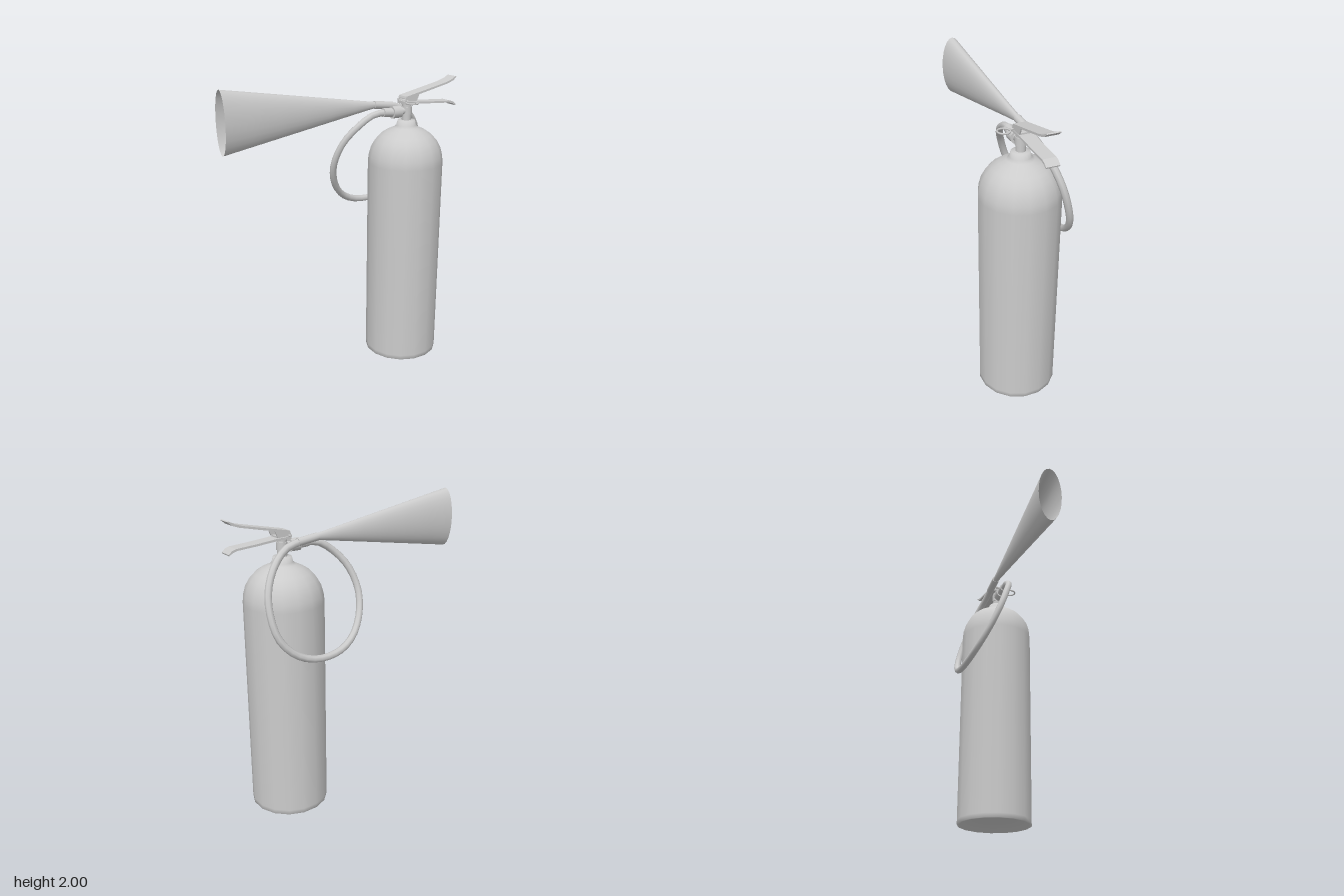
import * as THREE from 'three';

const CX = 0.45, CZ = 0.028; // axis of the tank

export function createModel() {
  const group = new THREE.Group();
  const grey = new THREE.MeshStandardMaterial({ color: 0xcccccc });
  const greyThin = new THREE.MeshStandardMaterial({ color: 0xcccccc, side: THREE.DoubleSide });

  const add = (name, geometry, material = grey) => {
    const mesh = new THREE.Mesh(geometry, material);
    mesh.name = name;
    group.add(mesh);
    return mesh;
  };
  const v = (a) => new THREE.Vector3(...a);

  // Round rod between two points
  const rod = (name, a, b, radius, sides = 12) => {
    const from = v(a), to = v(b), dir = to.clone().sub(from);
    const mesh = add(name, new THREE.CylinderGeometry(radius, radius, dir.length(), sides));
    mesh.position.copy(from).add(to).multiplyScalar(0.5);
    mesh.quaternion.setFromUnitVectors(new THREE.Vector3(0, 1, 0), dir.normalize());
    return mesh;
  };

  // Side outline in x and y, extruded between two z values
  const plate = (name, outline, z0, z1) => {
    const shape = new THREE.Shape(outline.map(([x, y]) => new THREE.Vector2(x, y)));
    const geometry = new THREE.ExtrudeGeometry(shape, { depth: z1 - z0, bevelEnabled: false });
    geometry.translate(0, 0, z0);
    return add(name, geometry);
  };

  // Tank with domed shoulder, collar and recessed base
  const profile = [
    [0, 0.045], [0.15, 0.04], [0.225, 0.015], [0.242, 0], [0.256, 0], [0.256, 0.03],
    [0.256, 0.7], [0.256, 1.41], [0.251, 1.46], [0.236, 1.515], [0.21, 1.562],
    [0.175, 1.6], [0.13, 1.63], [0.085, 1.65], [0.067, 1.665], [0.058, 1.7], [0, 1.702],
  ].map(([r, y]) => new THREE.Vector2(r, y));
  const tank = add('tank', new THREE.LatheGeometry(profile, 16, Math.PI / 16));
  tank.position.set(CX, 0, CZ);

  // Valve stem and its head
  rod('valveStem', [CX, 1.69, CZ], [CX, 1.82, CZ], 0.031);
  rod('valveNut', [CX, 1.74, CZ], [CX, 1.79, CZ], 0.036);
  const head = add('valveHead', new THREE.BoxGeometry(0.1, 0.02, 0.07));
  head.position.set(CX, 1.822, CZ);

  // Side outlet with stepped fitting
  rod('outletPipe', [0.37, 1.76, CZ], [CX, 1.765, CZ], 0.025);
  rod('outletNut', [0.33, 1.76, CZ], [0.395, 1.76, CZ], 0.041);
  rod('hoseFerrule', [0.265, 1.765, 0.022], [0.335, 1.76, 0.026], 0.03);

  // Hose looping behind the tank to the horn
  const path = [
    [0.29, 1.763, 0.024], [0.2, 1.757, 0.015], [0.09, 1.69, 0], [0, 1.58, -0.045],
    [-0.04, 1.43, -0.1], [-0.008, 1.29, -0.155], [0.085, 1.17, -0.21],
    [0.22, 1.105, -0.245], [0.4, 1.1, -0.257], [0.54, 1.155, -0.246],
    [0.64, 1.265, -0.217], [0.672, 1.41, -0.177], [0.655, 1.55, -0.135],
    [0.58, 1.68, -0.09], [0.47, 1.765, -0.054], [0.36, 1.793, -0.049],
  ].map(v);
  add('hose', new THREE.TubeGeometry(new THREE.CatmullRomCurve3(path), 40, 0.023, 8));
  rod('hornSleeve', [0.24, 1.807, -0.05], [0.385, 1.79, -0.049], 0.026);

  // Horn: round at the throat, flattened to a tall oval at the mouth
  const horn = new THREE.CylinderGeometry(1, 1, 1, 24, 6, true);
  const p = horn.attributes.position;
  for (let i = 0; i < p.count; i++) {
    const t = p.getY(i) + 0.5, lerp = THREE.MathUtils.lerp; // t = 1 at the mouth
    p.setXYZ(i,
      lerp(0.26, -0.84, t),
      lerp(1.806, 1.8, t) + p.getX(i) * lerp(0.018, 0.2, t),
      lerp(-0.05, -0.047, t) + p.getZ(i) * lerp(0.018, 0.078, t));
  }
  horn.computeVertexNormals();
  // Share the normals across the seam
  const n = horn.attributes.normal;
  for (let row = 0; row <= 6; row++) {
    const a = row * 25, b = a + 24;
    const m = new THREE.Vector3().fromBufferAttribute(n, a)
      .add(new THREE.Vector3().fromBufferAttribute(n, b)).normalize();
    for (const i of [a, b]) n.setXYZ(i, m.x, m.y, m.z);
  }
  add('horn', horn, greyThin);

  // Squeeze lever with side cheeks, and carrying handle beneath
  const z0 = -0.02, z1 = 0.066;
  plate('squeezeLever', [
    [0.415, 1.85], [0.5, 1.865], [0.63, 1.893], [0.76, 1.922], [0.805, 1.938], [0.835, 1.963],
    [0.825, 1.966], [0.79, 1.946], [0.74, 1.93], [0.6, 1.9], [0.42, 1.862],
  ], z0, z1);
  const cheek = [[0.405, 1.828], [0.505, 1.828], [0.525, 1.872], [0.42, 1.855]];
  plate('leverCheekRight', cheek, z1 - 0.008, z1);
  plate('leverCheekLeft', cheek, z0, z0 + 0.008);
  plate('carryHandle', [
    [0.41, 1.81], [0.52, 1.808], [0.66, 1.797], [0.78, 1.79], [0.81, 1.782], [0.835, 1.766],
    [0.838, 1.774], [0.815, 1.794], [0.79, 1.802], [0.66, 1.81], [0.52, 1.822], [0.41, 1.826],
  ], z0, z1);

  // Safety pin with pull ring
  rod('safetyPin', [0.425, 1.832, -0.04], [0.425, 1.832, 0.085], 0.007, 8);
  const ring = add('pinRing', new THREE.TorusGeometry(0.039, 0.006, 6, 20));
  ring.rotation.x = Math.PI / 2;
  ring.position.set(0.425, 1.828, 0.125);

  return group;
}
